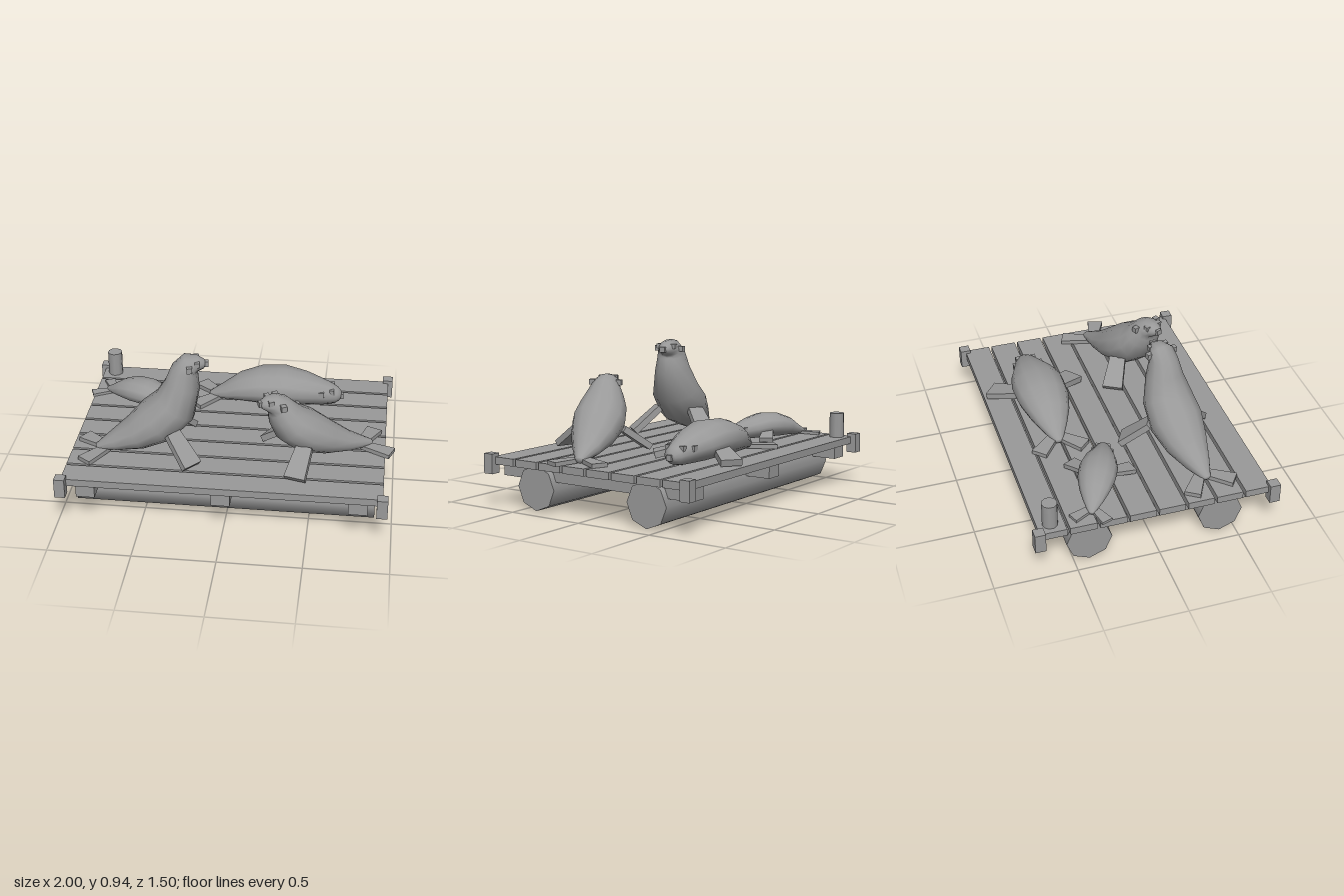
import * as THREE from 'three';

const grey = new THREE.MeshStandardMaterial({ color: 0x999999 });
grey.name = 'plain grey';

const DECK = 0.305;

function add(parent, geometry, name, x = 0, y = 0, z = 0) {
  const mesh = new THREE.Mesh(geometry, grey);
  mesh.name = name;
  mesh.position.set(x, y, z);
  parent.add(mesh);
  return mesh;
}

// Smooth body lofted along a spine in the x-y plane.
// Sections: [forward, height, half height, half width]; the belly is flattened on the deck.
function loft(sections, sides = 12) {
  const pos = [], index = [], n = sections.length;
  sections.forEach(([x, y, h, w], i) => {
    const p = sections[Math.max(i - 1, 0)], q = sections[Math.min(i + 1, n - 1)];
    const len = Math.hypot(q[0] - p[0], q[1] - p[1]);
    const tx = (q[0] - p[0]) / len, ty = (q[1] - p[1]) / len;
    for (let j = 0; j < sides; j++) {
      const a = (j / sides) * Math.PI * 2, up = h * Math.cos(a);
      pos.push(x - ty * up, Math.max(DECK, y + tx * up), w * Math.sin(a));
    }
  });
  for (let i = 0; i < n - 1; i++) {
    for (let j = 0; j < sides; j++) {
      const k = (j + 1) % sides;
      const a = i * sides + j, b = i * sides + k, c = a + sides, d = b + sides;
      index.push(a, b, c, b, d, c);
    }
  }
  const first = sections[0], last = sections[n - 1], tail = n * sides;
  pos.push(first[0] - 0.01, first[1], 0, last[0] + 0.01, last[1], 0);
  for (let j = 0; j < sides; j++) {
    const k = (j + 1) % sides, e = (n - 1) * sides;
    index.push(tail, k, j, tail + 1, e + j, e + k);
  }
  const g = new THREE.BufferGeometry();
  g.setAttribute('position', new THREE.Float32BufferAttribute(pos, 3));
  g.setIndex(index);
  g.computeVertexNormals();
  return g;
}

// Flat plate that widens from root to tip.
function flipper(parent, name, root, tip, rootWidth, tipWidth, thickness) {
  const a = new THREE.Vector3(...root), b = new THREE.Vector3(...tip);
  const dir = b.clone().sub(a), len = dir.length();
  dir.normalize();
  const side = new THREE.Vector3(-dir.z, 0, dir.x).normalize();
  const g = new THREE.BoxGeometry(len, thickness, 1);
  const p = g.attributes.position;
  for (let i = 0; i < p.count; i++) p.setZ(i, p.getZ(i) * (p.getX(i) < 0 ? rootWidth : tipWidth));
  const normal = new THREE.Vector3().crossVectors(side, dir);
  g.applyMatrix4(new THREE.Matrix4().makeBasis(dir, normal, side));
  g.computeVertexNormals();
  const mid = a.add(b).multiplyScalar(0.5);
  add(parent, g, name, mid.x, mid.y, mid.z);
}

// A seal facing local +x with its tail at the origin.
function makeSeal(name, { body, root, tip, ear, eye, nose }) {
  const seal = new THREE.Group();
  seal.name = name;
  add(seal, loft(body), 'body');
  const box = (size) => new THREE.BoxGeometry(size, size, size);
  add(seal, box(0.034), 'nose', ...nose);
  for (const s of [1, -1]) {
    const flip = ([x, y, z]) => [x, y, z * s];
    add(seal, box(0.034), 'ear', ...flip(ear));
    add(seal, box(0.03), 'eye', ...flip(eye));
    flipper(seal, 'frontFlipper', flip(root), flip(tip), 0.1, 0.13, 0.04);
    flipper(seal, 'tailFlipper', [0.06, 0.325, 0.01 * s], [-0.08, 0.32, 0.145 * s], 0.06, 0.1, 0.026);
  }
  return seal;
}

const uprightSeal = {
  body: [
    [0, 0.33, 0.02, 0.025], [0.107, 0.37, 0.06, 0.08], [0.24, 0.425, 0.105, 0.135],
    [0.37, 0.505, 0.145, 0.168], [0.483, 0.61, 0.14, 0.155], [0.53, 0.75, 0.108, 0.115],
    [0.545, 0.845, 0.085, 0.092], [0.575, 0.885, 0.068, 0.08], [0.62, 0.888, 0.048, 0.058],
    [0.662, 0.883, 0.026, 0.032],
  ],
  root: [0.46, 0.48, 0.13], tip: [0.57, 0.33, 0.265],
  ear: [0.57, 0.885, 0.082], eye: [0.617, 0.903, 0.05], nose: [0.67, 0.885, 0],
};

const leaningSeal = {
  body: [
    [0, 0.33, 0.02, 0.025], [0.15, 0.37, 0.058, 0.085], [0.29, 0.425, 0.1, 0.135],
    [0.43, 0.495, 0.132, 0.165], [0.53, 0.565, 0.122, 0.15], [0.575, 0.635, 0.1, 0.12],
    [0.605, 0.685, 0.08, 0.092], [0.64, 0.71, 0.06, 0.075], [0.68, 0.715, 0.044, 0.055],
    [0.71, 0.715, 0.026, 0.032],
  ],
  root: [0.48, 0.45, 0.13], tip: [0.585, 0.33, 0.265],
  ear: [0.6, 0.715, 0.085], eye: [0.665, 0.737, 0.045], nose: [0.712, 0.718, 0],
};

const lyingSeal = {
  body: [
    [0, 0.325, 0.02, 0.025], [0.11, 0.36, 0.053, 0.085], [0.21, 0.395, 0.088, 0.13],
    [0.34, 0.418, 0.113, 0.163], [0.48, 0.425, 0.115, 0.168], [0.61, 0.407, 0.102, 0.14],
    [0.69, 0.393, 0.088, 0.108], [0.76, 0.38, 0.074, 0.083], [0.82, 0.37, 0.053, 0.06],
    [0.845, 0.366, 0.03, 0.036],
  ],
  root: [0.5, 0.375, 0.12], tip: [0.625, 0.33, 0.275],
  ear: [0.725, 0.41, 0.08], eye: [0.79, 0.415, 0.05], nose: [0.848, 0.365, 0],
};

export function createModel() {
  const model = new THREE.Group();
  model.name = 'sealRaft';

  // Deck planks
  for (let i = 0; i < 8; i++) {
    add(model, new THREE.BoxGeometry(1.91, 0.045, 0.161), 'plank', -0.015, 0.2825, -0.631 + i * 0.179);
  }
  // Cross beams under the deck
  for (const x of [-0.827, -0.015, 0.797]) {
    add(model, new THREE.BoxGeometry(0.113, 0.08, 1.376), 'beam', x, 0.22, 0.002);
  }
  // Floats and corner posts
  for (const s of [1, -1]) {
    const float = new THREE.CylinderGeometry(0.138, 0.138, 1.815, 8).rotateZ(Math.PI / 2);
    add(model, float, 'float', -0.0125, 0.138, 0.405 * s);
    for (const x of [-0.968, 0.938]) {
      add(model, new THREE.BoxGeometry(0.064, 0.122, 0.064), 'cornerPost', x, 0.264, 0.716 * s);
    }
  }
  // Mooring bollard
  add(model, new THREE.CylinderGeometry(0.047, 0.047, 0.16, 10), 'bollard', -0.893, 0.382, -0.632);

  // Seals: [name, shape, tail x, tail z, heading, scale]
  const seals = [
    ['uprightSeal', uprightSeal, -0.815, 0.353, 0.18, 1],
    ['leaningSeal', leaningSeal, 0.85, 0.11, Math.PI + 0.4, 1],
    ['lyingSeal', lyingSeal, -0.21, -0.385, 0, 1],
    ['sealPup', lyingSeal, -0.895, -0.385, -0.426, 0.69],
  ];
  for (const [name, shape, x, z, heading, scale] of seals) {
    const seal = makeSeal(name, shape);
    seal.position.set(x, DECK * (1 - scale), z);
    seal.rotation.y = heading;
    seal.scale.setScalar(scale);
    model.add(seal);
  }
  return model;
}
